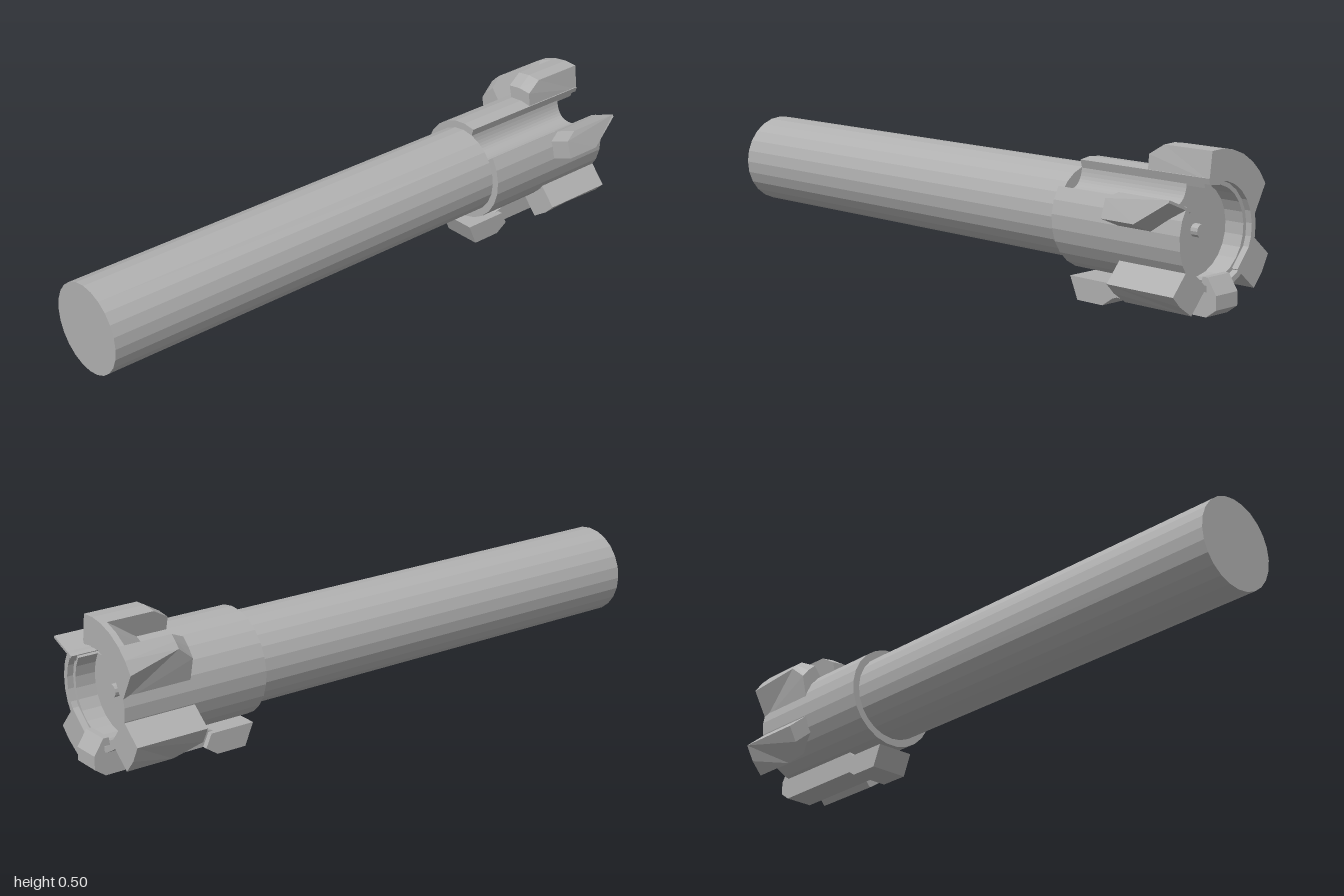
import * as THREE from 'three';

const rad = THREE.MathUtils.degToRad;
const AXIS = [-0.012, 0.257];
const BACK = -0.965, FLOOR = -0.88, LIP = -0.945, SHOULDER = -0.48;
const COLLAR_R = 0.168, LUG_R = 0.245;
const SLOT = [34, 74]; // degrees, channel cut along the collar

const steel = new THREE.MeshStandardMaterial({ color: 0xb0b0b0, flatShading: true });
steel.name = 'steel grey';

function part(name, geometry) {
  const mesh = new THREE.Mesh(geometry, steel);
  mesh.name = name;
  return mesh;
}

const polar = (r, deg) => [r * Math.cos(rad(deg)), r * Math.sin(rad(deg))];
const polygon = (pts) => new THREE.Shape(pts.map((p) => new THREE.Vector2(p[0], p[1])));

// Extrude a cross-section along z between two depths
function extrudeZ(shape, z0, z1) {
  const g = new THREE.ExtrudeGeometry(shape, { depth: z1 - z0, bevelEnabled: false, curveSegments: 11 });
  return g.translate(0, 0, z0);
}

// Extrude a (z, y) profile across the width
function extrudeX(pts, width) {
  const g = new THREE.ExtrudeGeometry(polygon(pts), { depth: width, bevelEnabled: false });
  return g.rotateY(-Math.PI / 2).translate(width / 2, 0, 0);
}

// Solid collar section with the rounded channel
function collarShape() {
  const s = new THREE.Shape();
  s.absarc(0, 0, COLLAR_R, rad(SLOT[1]), rad(SLOT[0] + 360), false);
  s.lineTo(...polar(0.142, SLOT[0]));
  s.quadraticCurveTo(...polar(0.08, 54), ...polar(0.142, SLOT[1]));
  return s;
}

// Open ring forming the cup wall
function cupShape(inner) {
  const s = new THREE.Shape();
  s.absarc(0, 0, COLLAR_R, rad(SLOT[1]), rad(SLOT[0] + 360), false);
  s.absarc(0, 0, inner, rad(SLOT[0] + 360), rad(SLOT[1]), true);
  return s;
}

// Lug: (tangent, z) outline pushed out radially, its outer face following an arc
function lug(deg, pts) {
  const g = new THREE.ExtrudeGeometry(polygon(pts), { depth: 1, bevelEnabled: false });
  const p = g.attributes.position;
  for (let i = 0; i < p.count; i++) {
    const t = p.getX(i);
    p.setZ(i, p.getZ(i) > 0.5 ? Math.sqrt(LUG_R ** 2 - t * t) : 0.142);
  }
  const radial = new THREE.Vector3(...polar(1, deg), 0);
  const tangent = new THREE.Vector3(...polar(1, deg + 90), 0);
  g.applyMatrix4(new THREE.Matrix4().makeBasis(tangent, new THREE.Vector3(0, 0, 1), radial));
  g.computeVertexNormals();
  return g;
}

// Sweep a convex (r, z) profile around the axis; end angles may depend on r and z
function sector(profile, from, to, steps) {
  const n = profile.length, pos = [], idx = [];
  for (let s = 0; s <= steps; s++) {
    for (const [r, z] of profile) {
      const a = THREE.MathUtils.lerp(from(r, z), to(r, z), s / steps);
      pos.push(...polar(r, a), z);
    }
  }
  for (let s = 0; s < steps; s++) {
    for (let i = 0; i < n; i++) {
      const j = (i + 1) % n;
      const a = s * n + i, b = a + n, c = (s + 1) * n + j, d = s * n + j;
      idx.push(a, b, c, a, c, d);
    }
  }
  const e = steps * n;
  for (let i = 1; i < n - 1; i++) idx.push(0, i, i + 1, e, e + i + 1, e + i);
  const g = new THREE.BufferGeometry();
  g.setAttribute('position', new THREE.Float32BufferAttribute(pos, 3));
  g.setIndex(idx);
  const flat = g.toNonIndexed();
  flat.computeVertexNormals();
  return flat;
}

export function createModel() {
  const model = new THREE.Group();
  model.name = 'bayonetShaft';
  const body = new THREE.Group();
  body.name = 'body';
  body.position.set(AXIS[0], AXIS[1], 0);
  model.add(body);

  // Long round shaft
  const shaftLength = 1 - SHOULDER;
  const shaft = part('shaft', new THREE.CylinderGeometry(0.144, 0.144, shaftLength, 24).rotateX(Math.PI / 2));
  shaft.position.z = SHOULDER + shaftLength / 2;
  body.add(shaft);

  // Collar with a hollow, stepped end
  body.add(part('collar', extrudeZ(collarShape(), FLOOR, SHOULDER)));
  body.add(part('cupWall', extrudeZ(cupShape(0.137), LIP, FLOOR)));
  body.add(part('cupLip', extrudeZ(cupShape(0.15), BACK, LIP)));
  const pin = part('centrePin', new THREE.CylinderGeometry(0.02, 0.02, 0.03, 12).rotateX(Math.PI / 2));
  pin.position.z = FLOOR - 0.01;
  body.add(pin);

  // Lugs around the collar
  body.add(part('taperedLug', lug(22, [
    [0.033, BACK], [0.033, -0.78], [0.01, -0.74], [-0.049, -0.74], [-0.049, -0.86], [0.025, BACK],
  ])));
  body.add(part('plainLug', lug(-49, [
    [-0.059, BACK], [0, BACK], [0.044, BACK], [0.044, -0.72], [0, -0.72], [-0.059, -0.72],
  ])));
  body.add(part('chamferedLug', lug(220, [
    [-0.08, BACK], [-0.025, BACK], [0.031, BACK], [0.031, -0.81], [-0.025, -0.73], [-0.08, -0.73],
  ])));

  // Forked upper lug: two legs joined by a sloping bridge
  const leg = [[0.16, BACK], [0.24, BACK], [0.24, -0.79], [0.21, -0.74], [0.16, -0.74]];
  const bridge = [[0.16, BACK], [0.24, BACK], [0.24, LIP], [0.16, -0.83]];
  const rightEnd = (r) => 82 - (0.24 - r) * 100;
  const leftEnd = (r, z) => 150 + (0.24 - r) * 250 - (r > 0.2 && z > -0.8 ? 10 : 0);
  const forked = new THREE.Group();
  forked.name = 'forkedLug';
  forked.add(part('forkInnerLeg', sector(leg, rightEnd, () => 104, 2)));
  forked.add(part('forkBridge', sector(bridge, () => 104, () => 128, 2)));
  forked.add(part('forkOuterLeg', sector(leg, () => 128, leftEnd, 2)));
  body.add(forked);

  // Lower latch: long arm, hooked over the rim, with a wide foot
  const latch = new THREE.Group();
  latch.name = 'latch';
  latch.add(part('latchFoot', extrudeX([
    [-0.46, -0.187], [-0.49, -0.257], [-0.59, -0.257], [-0.63, -0.23], [-0.61, -0.187],
  ], 0.13)));
  latch.add(part('latchArm', extrudeX([
    [-0.59, -0.188], [-0.59, -0.23], [-0.965, -0.232], [-1, -0.207], [-1, -0.165],
    [-0.968, -0.117], [-0.95, -0.117], [-0.945, -0.152], [-0.64, -0.152], [-0.62, -0.18],
  ], 0.095)));
  body.add(latch);

  return model;
}
